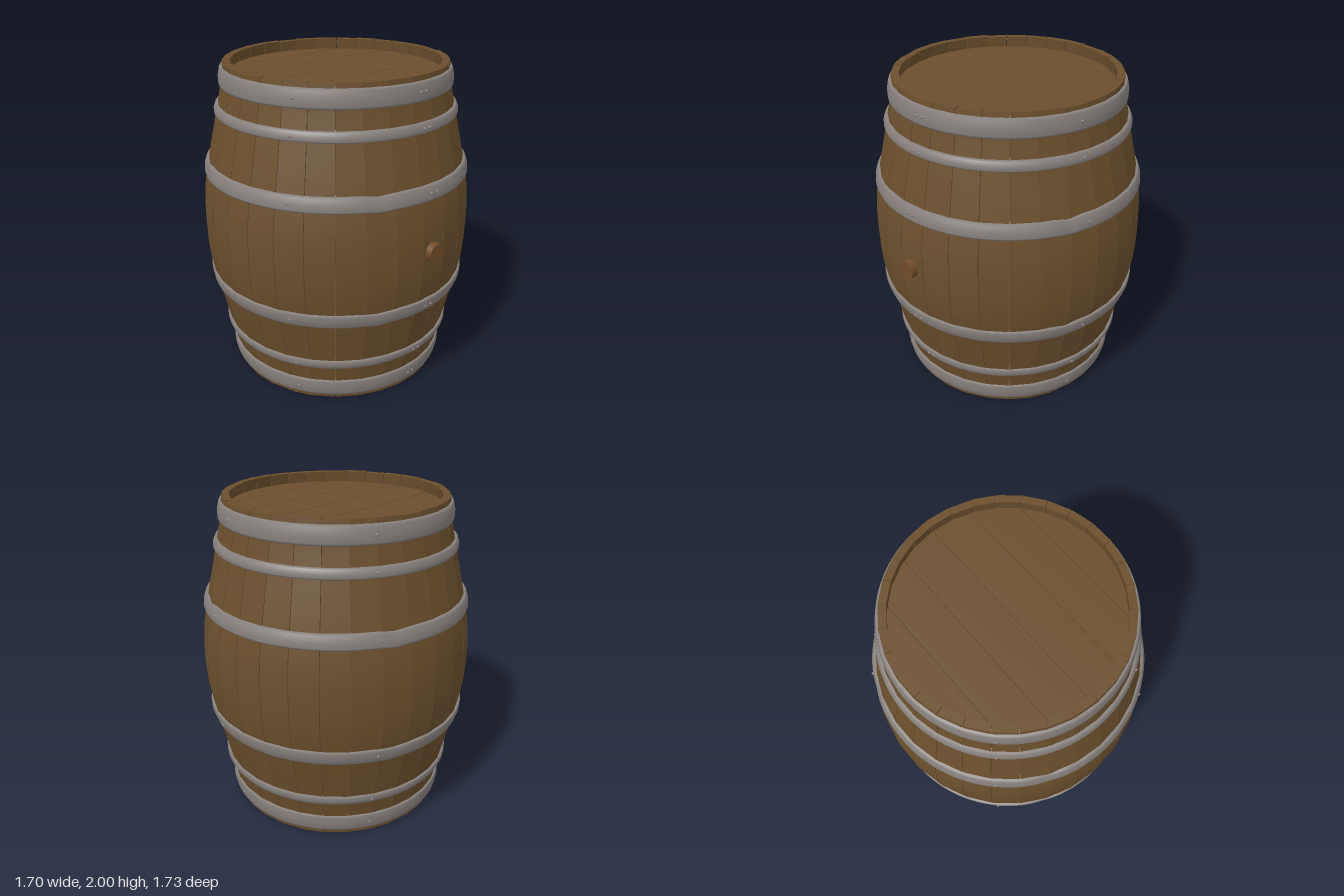
import * as THREE from 'three';

const STAVES = 30;
// Stave outer radius by distance from mid-height
const PROFILE = [[0, 0.85], [0.1, 0.848], [0.2, 0.84], [0.32, 0.82], [0.42, 0.799], [0.7, 0.735], [0.86, 0.7], [1, 0.685]];

function radiusAt(y) {
  const u = Math.min(Math.abs(y - 1), 1);
  const i = Math.max(1, PROFILE.findIndex((p) => p[0] >= u));
  const [u0, r0] = PROFILE[i - 1];
  const [u1, r1] = PROFILE[i];
  return THREE.MathUtils.lerp(r0, r1, (u - u0) / (u1 - u0));
}

function makeRandom(seed) {
  return () => {
    seed = (seed * 16807) % 2147483647;
    return seed / 2147483647;
  };
}

// One flat-faced stave, bent along the barrel profile; its outer face looks along +z
function staveGeometry(height) {
  const half = Math.PI / STAVES;
  const g = new THREE.BoxGeometry(1, height, 1, 1, 20, 1);
  const p = g.attributes.position;
  for (let i = 0; i < p.count; i++) {
    const y = p.getY(i) + 1;
    const apothem = radiusAt(y) * Math.cos(half);
    const r = p.getZ(i) > 0 ? apothem : apothem - 0.045;
    p.setXYZ(i, Math.sign(p.getX(i)) * (r * Math.tan(half) - 0.0018), y, r);
  }
  g.computeVertexNormals();
  return g;
}

// Rounded iron band with a few shallow hammer dents
function hoopGeometry(y0, y1, dented) {
  const pts = [[0, -0.03], [0, 0.008], [0.12, 0.014], [0.5, 0.019], [0.88, 0.014], [1, 0.008], [1, -0.03]].map(([t, out]) => {
    const y = THREE.MathUtils.lerp(y0, y1, t);
    return new THREE.Vector2(radiusAt(y) + out, y);
  });
  const g = new THREE.LatheGeometry(pts, 120);
  if (dented) {
    const p = g.attributes.position;
    for (let i = 0; i < p.count; i++) {
      const x = p.getX(i), z = p.getZ(i), r = Math.hypot(x, z);
      const turn = Math.atan2(x, z) / (Math.PI / 2) + 24 / 90;
      const d = (turn - Math.round(turn)) * Math.PI / 2;
      const dent = Math.exp(-((d / 0.07) ** 2));
      const k = 1 - 0.006 * dent / r;
      p.setXYZ(i, x * k, p.getY(i) - 0.01 * dent, z * k);
    }
    g.computeVertexNormals();
  }
  return g;
}

// One board of a round head, between z0 and z1
function boardGeometry(z0, z1, radius, thick) {
  const pts = [];
  const n = 10;
  for (const side of [1, -1]) {
    for (let i = 0; i <= n; i++) {
      const z = THREE.MathUtils.lerp(z0, z1, side > 0 ? i / n : 1 - i / n);
      pts.push(new THREE.Vector2(side * Math.sqrt(Math.max(0, radius * radius - z * z)), z));
    }
  }
  const g = new THREE.ExtrudeGeometry(new THREE.Shape(pts), { depth: thick, bevelEnabled: false });
  return g.rotateX(-Math.PI / 2);
}

export function createModel() {
  const wood = new THREE.MeshStandardMaterial({ color: 0x6b4f2d });
  wood.name = 'oak';
  const iron = new THREE.MeshStandardMaterial({ color: 0x87807c });
  iron.name = 'iron';
  const plugWood = new THREE.MeshStandardMaterial({ color: 0x704c29 });
  plugWood.name = 'plugWood';

  const model = new THREE.Group();
  model.name = 'barrel';
  const add = (name, geometry, material, parent) => {
    const m = new THREE.Mesh(geometry, material);
    m.name = name;
    parent.add(m);
    return m;
  };
  const group = (name) => {
    const g = new THREE.Group();
    g.name = name;
    model.add(g);
    return g;
  };

  // Staves, slightly uneven in length
  const staves = group('staves');
  const random = makeRandom(11);
  for (let i = 0; i < STAVES; i++) {
    const height = i % 5 === 0 ? 2 : 2 - random() * 0.012;
    const stave = add('stave', staveGeometry(height), wood, staves);
    stave.rotation.y = (i / STAVES) * Math.PI * 2 + 0.014;
  }

  // Recessed heads of six boards
  for (const [name, y] of [['topHead', 1.9], ['bottomHead', 0.07]]) {
    const head = group(name);
    const radius = 0.66;
    const width = 0.235;
    for (let i = -3; i < 3; i++) {
      const z0 = Math.max(i * width, -radius) + 0.0025;
      const z1 = Math.min((i + 1) * width, radius) - 0.0025;
      add('headBoard', boardGeometry(z0, z1, radius, 0.03), wood, head).position.y = y;
    }
  }

  // Hoops with rivets, mirrored about mid-height
  const hoops = group('hoops');
  const rivets = group('rivets');
  const bands = [[0.03, 0.14, false], [0.25, 0.31, false], [0.59, 0.68, true]];
  const rivetShape = new THREE.SphereGeometry(0.009, 10, 6);
  for (const [a, b, dented] of bands) {
    for (const [y0, y1] of [[a, b], [2 - b, 2 - a]]) {
      add('hoop', hoopGeometry(y0, y1, dented), iron, hoops);
      const y = (y0 + y1) / 2;
      const r = radiusAt(y) + 0.018;
      for (const degrees of [-0.8, 2.4, 75, 150, 225, 300]) {
        const angle = THREE.MathUtils.degToRad(degrees);
        add('rivet', rivetShape, iron, rivets).position.set(r * Math.sin(angle), y, r * Math.cos(angle));
      }
    }
  }

  // Bung in the front
  const bung = add('bung', new THREE.CylinderGeometry(0.056, 0.06, 0.08, 24), plugWood, model);
  bung.rotation.x = Math.PI / 2;
  bung.position.set(0, 1.005, 0.844);

  // Centre the whole depth, bung included
  model.children.forEach((part) => { part.position.z -= 0.018; });
  return model;
}
